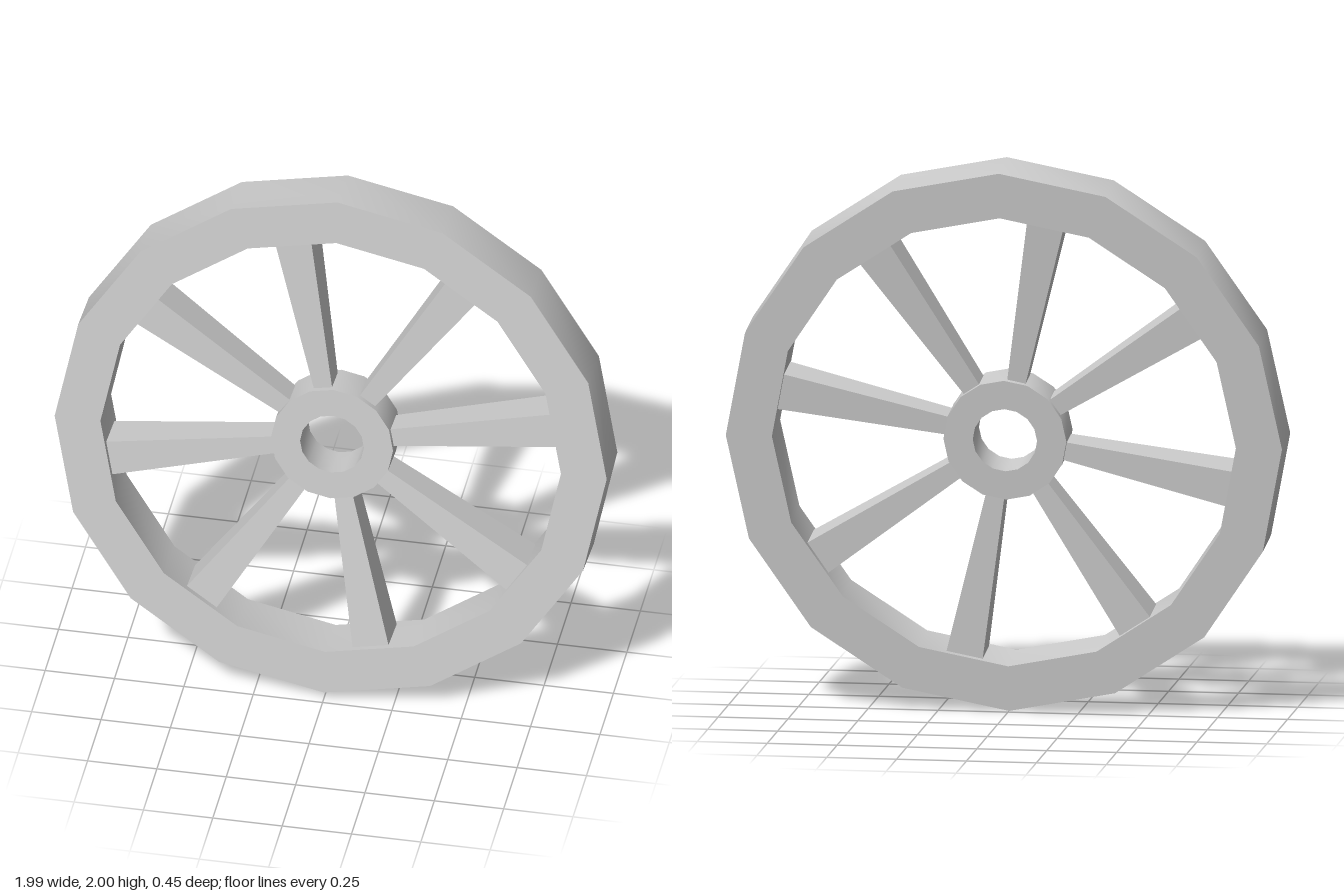
import * as THREE from 'three';
import { toCreasedNormals } from 'three/addons/utils/BufferGeometryUtils.js';

const SIDES = 16;
const SPOKES = 8;
const TILT = THREE.MathUtils.degToRad(-7.2);

// Regular polygon with one corner straight up
function polygon(radius) {
  return Array.from({ length: SIDES }, (_, i) => {
    const a = Math.PI / 2 + (i / SIDES) * Math.PI * 2;
    return new THREE.Vector2(radius * Math.cos(a), radius * Math.sin(a));
  });
}

// Flat-faced ring, smooth around its inner and outer walls
function ring(outer, inner, depth) {
  const shape = new THREE.Shape(polygon(outer));
  shape.holes.push(new THREE.Path(polygon(inner)));
  const geometry = new THREE.ExtrudeGeometry(shape, { depth, bevelEnabled: false });
  geometry.translate(0, 0, -depth / 2);
  return toCreasedNormals(geometry, 0.5);
}

// Bar along +x that widens and deepens from the hub to the rim
function spokeGeometry(start, end) {
  const geometry = new THREE.BoxGeometry(1, 1, 1);
  const p = geometry.attributes.position;
  for (let i = 0; i < p.count; i++) {
    const t = p.getX(i) + 0.5;
    p.setXYZ(
      i,
      THREE.MathUtils.lerp(start, end, t),
      p.getY(i) * THREE.MathUtils.lerp(0.065, 0.132, t),
      p.getZ(i) * THREE.MathUtils.lerp(0.105, 0.155, t)
    );
  }
  geometry.computeVertexNormals();
  return geometry;
}

export function createModel() {
  const model = new THREE.Group();
  model.name = 'spokedWheel';
  const material = new THREE.MeshStandardMaterial({ color: 0xcccccc });

  // The whole wheel leans slightly back
  const wheel = new THREE.Group();
  wheel.name = 'wheel';
  wheel.position.y = 1;
  wheel.rotation.x = TILT;
  model.add(wheel);

  const add = (name, geometry) => {
    const mesh = new THREE.Mesh(geometry, material);
    mesh.name = name;
    wheel.add(mesh);
    return mesh;
  };

  add('rim', ring(0.995, 0.83, 0.2));
  add('hub', ring(0.22, 0.115, 0.15));

  // Spokes, each centred on a flat of the hub and rim
  const spoke = spokeGeometry(0.2, 0.82);
  for (let i = 0; i < SPOKES; i++) {
    add(`spoke${i + 1}`, spoke).rotation.z = Math.PI / SIDES + (i / SPOKES) * Math.PI * 2;
  }

  return model;
}
